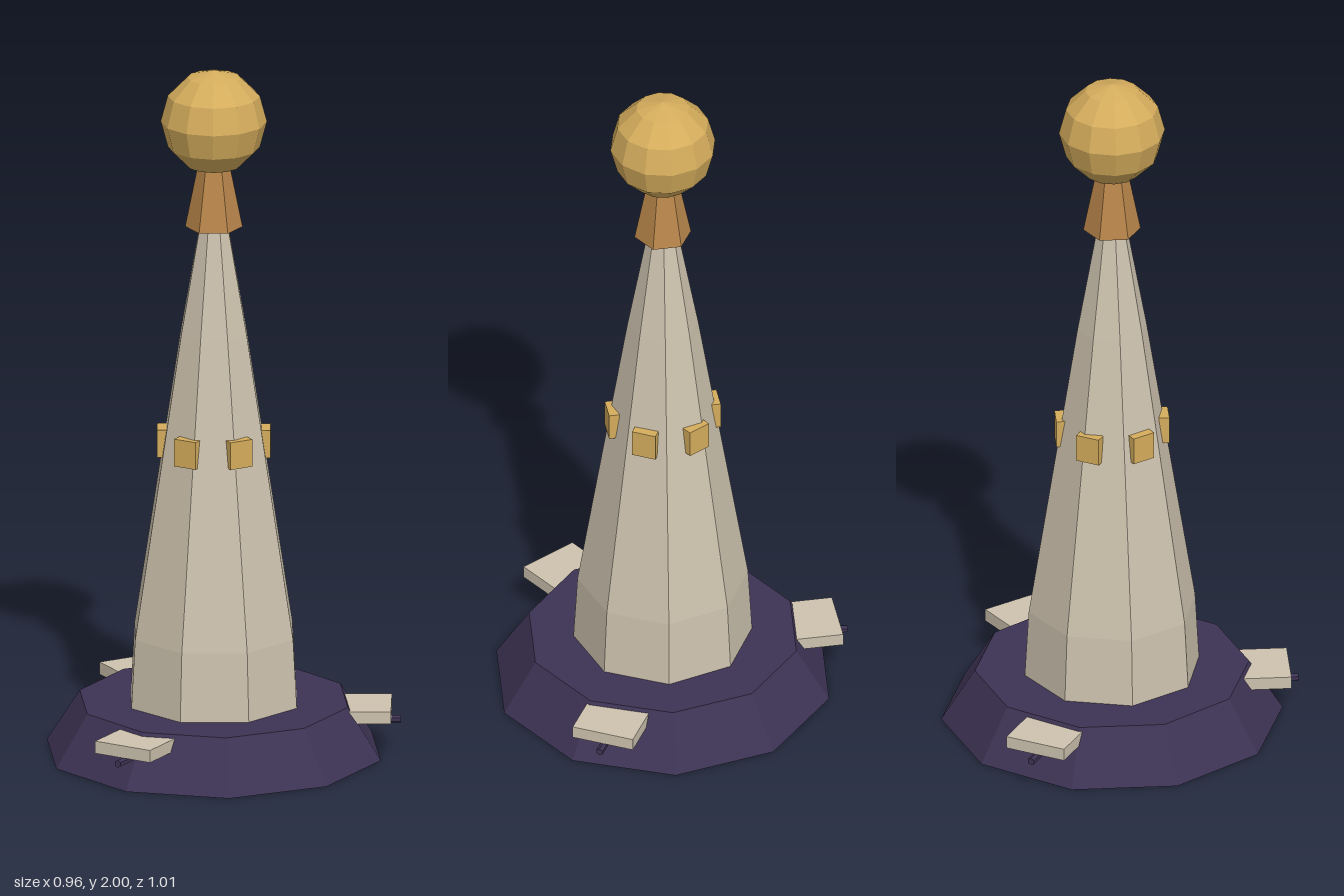
import * as THREE from 'three';

function material(name, color) {
  const m = new THREE.MeshStandardMaterial({ color });
  m.name = name;
  return m;
}

// Flat facets come from split normals
function faceted(geometry) {
  const g = geometry.index ? geometry.toNonIndexed() : geometry;
  g.computeVertexNormals();
  return g;
}

export function createModel() {
  const purple = material('dark purple', 0x3d3354);
  const stone = material('pale stone', 0xcdc2ae);
  const gold = material('gold', 0xd4ac5c);
  const copper = material('copper', 0xb9864b);

  const model = new THREE.Group();
  model.name = 'tower';
  const body = new THREE.Group();
  body.name = 'towerBody';
  body.position.z = -0.024;
  model.add(body);

  const add = (parent, name, geometry, mat, x = 0, y = 0, z = 0) => {
    const mesh = new THREE.Mesh(faceted(geometry), mat);
    mesh.name = name;
    mesh.position.set(x, y, z);
    parent.add(mesh);
    return mesh;
  };

  // Sloping ten-sided base
  add(body, 'base', new THREE.CylinderGeometry(0.388, 0.483, 0.15, 10), purple, 0, 0.075);

  // Eight-sided tapering shaft, slightly turned
  const profile = [[0.253, 0.14], [0.241, 0.35], [0.1, 1.23], [0.04, 1.56]]
    .map(([r, y]) => new THREE.Vector2(r, y));
  const shaft = add(body, 'shaft', new THREE.LatheGeometry(profile, 8), stone);
  shaft.rotation.y = 0.155;

  // Collar and ball on top
  add(body, 'collar', new THREE.CylinderGeometry(0.045, 0.081, 0.18, 6), copper, 0, 1.63);
  add(body, 'ball', new THREE.SphereGeometry(0.15, 12, 6), gold, 0, 1.85);

  // Ring of six windows
  for (let i = 0; i < 6; i++) {
    const pivot = new THREE.Group();
    pivot.name = 'windowMount';
    pivot.rotation.y = i * Math.PI / 3;
    body.add(pivot);
    add(pivot, 'window', new THREE.BoxGeometry(0.07, 0.08, 0.03), gold, 0, 0.91, 0.145);
  }

  // Three landing pads, each on a small strut
  for (let i = 0; i < 3; i++) {
    const dock = new THREE.Group();
    dock.name = 'dock';
    dock.rotation.y = i * 2 * Math.PI / 3;
    body.add(dock);
    add(dock, 'pad', new THREE.BoxGeometry(0.18, 0.036, 0.18), stone, 0, 0.122, 0.411);
    const strut = add(dock, 'strut', new THREE.CylinderGeometry(0.011, 0.011, 0.17, 6), purple, 0, 0.093, 0.443);
    strut.rotation.x = Math.PI / 2;
  }
  return model;
}
